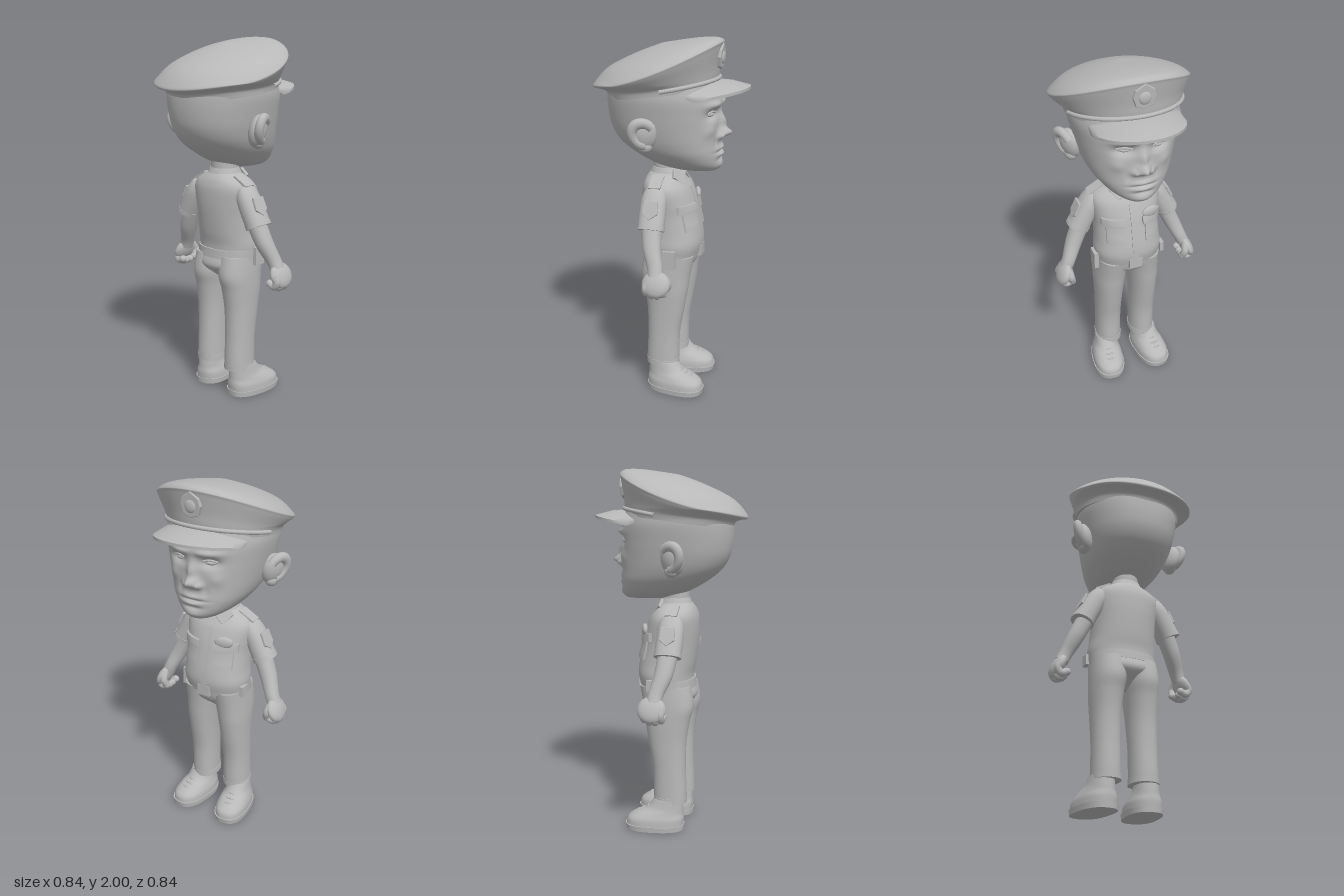
import * as THREE from 'three';
import { toCreasedNormals } from 'three/addons/utils/BufferGeometryUtils.js';

const grey = new THREE.MeshStandardMaterial({ color: 0xb8b8b8 });
grey.name = 'plain grey';

// The figure faces +x; its width runs along z.
// Ring: [y, backX, frontX, halfWidth, centreZ, slope of y along x, roundness]
const full = r => [r[0], r[1], r[2], r[3], r[4] ?? 0, r[5] ?? 0, r[6] ?? 2.2];

function dense(rings, n) {
  const R = rings.map(full), out = [], c = R.length - 1;
  for (let i = 0; i <= n; i++) {
    const t = i / n * c, k = Math.min(Math.floor(t), c - 1), f = t - k;
    const a = R[Math.max(k - 1, 0)], b = R[k], d = R[k + 1], e = R[Math.min(k + 2, c)];
    out.push(b.map((v, q) => v + 0.5 * f * (d[q] - a[q] + f * (2 * a[q] - 5 * v + 4 * d[q] - e[q] + f * (3 * (v - d[q]) + e[q] - a[q])))));
  }
  return out;
}

// Closed skin over a row of equal loops, with end caps
function skin(loops) {
  const m = loops[0].length, pos = [], idx = [];
  const add = l => l.forEach(p => pos.push(...p));
  loops.forEach(add);
  for (let i = 0; i < loops.length - 1; i++) for (let j = 0; j < m; j++) {
    const a = i * m + j, b = i * m + (j + 1) % m;
    idx.push(a, a + m, b, b, a + m, b + m);
  }
  [loops[0], loops[loops.length - 1]].forEach((l, end) => {
    const o = pos.length / 3;
    add(l);
    pos.push(...[0, 1, 2].map(k => l.reduce((s, p) => s + p[k], 0) / m));
    for (let j = 0; j < m; j++) {
      const n = o + (j + 1) % m;
      idx.push(o + m, end ? n : o + j, end ? o + j : n);
    }
  });
  const g = new THREE.BufferGeometry();
  g.setAttribute('position', new THREE.Float32BufferAttribute(pos, 3));
  g.setIndex(idx);
  g.computeVertexNormals();
  return g;
}

const spow = (v, e) => Math.sign(v) * Math.pow(Math.abs(v), e);
function loft(rings, n = 24, seg = 40, rule = p => p) {
  return skin(dense(rings, n).map(([y, x0, x1, hz, zc, sl, p]) => Array.from({ length: seg }, (_, j) => {
    const a = j / seg * Math.PI * 2, dx = (x1 - x0) / 2 * spow(Math.cos(a), 2 / p);
    return rule([(x0 + x1) / 2 + dx, y + sl * dx, zc + hz * spow(Math.sin(a), 2 / p)], a);
  })));
}

// Front x of a lofted body at height y and width z
function surfX(rings, y, z) {
  const d = dense(rings, 60);
  const r = d.reduce((b, q) => Math.abs(q[0] - y) < Math.abs(b[0] - y) ? q : b);
  const u = Math.min(Math.abs(z / r[3]), 0.98);
  return (r[1] + r[2]) / 2 + (r[2] - r[1]) / 2 * Math.pow(1 - Math.pow(u, r[6]), 1 / r[6]);
}

function mesh(parent, name, geo, pos = [0, 0, 0], rot = [0, 0, 0], scale = [1, 1, 1]) {
  const m = new THREE.Mesh(geo, grey);
  m.name = name;
  m.position.set(...pos); m.rotation.set(...rot); m.scale.set(...scale);
  parent.add(m);
  return m;
}
const box = (x, y, z) => new THREE.BoxGeometry(x, y, z);
const ball = () => new THREE.SphereGeometry(1, 24, 16);
const tube = (pts, r, n = 16) => new THREE.TubeGeometry(new THREE.CatmullRomCurve3(pts.map(p => new THREE.Vector3(...p))), n, r, 10);

// Plate bent to follow the front of a body
function patch(rings, y, z, h, w, t) {
  const g = new THREE.BoxGeometry(t, h, w, 1, 6, 8), p = g.attributes.position;
  for (let i = 0; i < p.count; i++) {
    const Y = p.getY(i) + y, Z = p.getZ(i) + z;
    p.setXYZ(i, p.getX(i) + surfX(rings, Y, Z), Y, Z);
  }
  return toCreasedNormals(g, 0.6);
}
function plate(pts, depth) {
  const s = new THREE.Shape(pts.map(p => new THREE.Vector2(...p)));
  return new THREE.ExtrudeGeometry(s, { depth, bevelEnabled: true, bevelSize: 0.004, bevelThickness: 0.004, bevelSegments: 2 }).rotateY(Math.PI / 2);
}

const TORSO = [[.82, -.135, .16, .185], [.88, -.135, .172, .192], [.95, -.147, .166, .185], [1.05, -.158, .145, .183],
  [1.12, -.162, .13, .19], [1.19, -.16, .105, .195], [1.23, -.15, .08, .175], [1.26, -.135, .06, .125], [1.29, -.11, .03, .07]];
const HEAD = [[1.297, .07, .22, .04], [1.305, .0, .25, .085], [1.34, -.11, .268, .145], [1.4, -.215, .27, .2], [1.46, -.288, .265, .232],
  [1.53, -.33, .262, .254], [1.61, -.347, .262, .272], [1.7, -.35, .258, .288], [1.77, -.34, .24, .285]];
// Face relief: [y, z, spreadY, spreadZ, amount]
const BUMPS = [[1.615, .095, .026, .05, -.028], [1.665, .085, .018, .07, .02], [1.53, .13, .035, .035, .012],
  [1.508, 0, .026, .03, .058], [1.565, 0, .045, .022, .03], [1.492, .042, .016, .016, .026], [1.465, .075, .03, .012, -.007],
  [1.428, 0, .012, .055, .012], [1.409, 0, .006, .065, -.012], [1.392, 0, .012, .05, .012], [1.368, 0, .01, .05, -.01], [1.33, 0, .02, .05, .01]];

function face([x, y, z], a) {
  const w = Math.max(0, Math.cos(a)) ** 0.5;
  for (const [by, bz, sy, sz, k] of BUMPS)
    x += w * k * Math.exp(-(((y - by) / sy) ** 2) - ((Math.abs(z) - bz) / sz) ** 2);
  return [x, y, z];
}
// The cap's rim droops toward both sides
const droop = ([x, y, z]) => [x, y - .035 * (z / .36) ** 2 * THREE.MathUtils.clamp((y - 1.73) / .08, 0, 1), z];

export function createModel() {
  const root = new THREE.Group();
  root.name = 'officer figure';

  // Head and neck
  mesh(root, 'head', loft(HEAD, 90, 128, face));
  mesh(root, 'neck', new THREE.CylinderGeometry(.075, .075, .16, 32), [-.035, 1.3, 0]);
  for (const s of [1, -1]) {
    mesh(root, 'eye', ball(), [surfX(HEAD, 1.615, .09) - .027, 1.615, s * .09], [0, -s * .3, 0], [.018, .013, .032]);
    mesh(root, 'upperEyelid', tube([.055, .09, .13].map((z, i) => [surfX(HEAD, 1.62, z) - .013, 1.622 + (i === 1) * .008, s * z]), .006));
    // Ear with raised rim and lobe
    const ear = new THREE.Group();
    ear.name = 'ear';
    ear.position.set(-.08, 1.53, s * .288);
    ear.rotation.set(s * .2, s * .4, -.1);
    mesh(ear, 'earBody', ball(), [.005, -.005, -s * .008], [0, 0, 0], [.068, .088, .046]);
    mesh(ear, 'earRim', new THREE.TorusGeometry(.053, .024, 14, 36, 4.2), [-.002, .01, s * .018], [0, 0, .65], [1, 1.2, 1]);
    mesh(ear, 'earLobe', ball(), [.012, -.064, s * .006], [0, 0, 0], [.038, .034, .032]);
    root.add(ear);
  }

  // Peaked cap
  mesh(root, 'capCrown', loft([[1.722, -.345, .238, .303, 0, .14, 2], [1.763, -.36, .245, .31, 0, .16, 2], [1.797, -.39, .25, .33, .005, .22, 2],
    [1.845, -.42, .265, .36, .01, .33, 2], [1.87, -.417, .268, .358, .01, .33, 2], [1.918, -.345, .235, .29, .01, .28, 2],
    [1.954, -.2, .14, .17, .01, .25, 2], [1.968, -.06, -.03, .015, .01, .23, 2]], 56, 72, droop));
  const brim = [];
  for (let i = 0; i <= 32; i++) {
    const u = (i / 16 - 1) * Math.PI / 2, t = u * .59, c = Math.cos(u);
    const a = [-.055 + .28 * Math.cos(t), 1.735 + .05 * c, .3 * Math.sin(t)];
    const b = [.175 + .24 * c, 1.712 + .043 * c, .242 * Math.sin(u)];
    const mid = [(a[0] + b[0]) / 2, (a[1] + b[1]) / 2 + .008 * c, (a[2] + b[2]) / 2];
    const low = p => [p[0], p[1] - .015, p[2]];
    brim.push([a, mid, b, low(b), low(mid), low(a)]);
  }
  mesh(root, 'capBrim', toCreasedNormals(skin(brim), 0.9));
  mesh(root, 'capStrap', tube(Array.from({ length: 13 }, (_, i) => {
    const t = (i / 6 - 1) * 1.35;
    return [-.055 + .302 * Math.cos(t), 1.742 + .05 * Math.cos(t), .312 * Math.sin(t)];
  }), .011, 40));
  mesh(root, 'capBadge', plate([[0, -.06], [.04, -.045], [.055, 0], [.045, .035], [0, .065], [-.045, .035], [-.055, 0], [-.04, -.045]], .018), [.248, 1.905, 0], [0, 0, -.06]);
  mesh(root, 'capBadgeBoss', ball(), [.268, 1.9, 0], [0, 0, 0], [.012, .034, .032]);

  // Shirt
  mesh(root, 'shirt', loft(TORSO, 48, 56));
  mesh(root, 'buttonPlacket', patch(TORSO, 1.03, 0, .34, .035, .01));
  mesh(root, 'collarBand', loft([[1.235, -.135, .062, .105], [1.27, -.125, .055, .095], [1.305, -.11, .035, .082]], 12));
  for (const s of [1, -1]) {
    mesh(root, 'collarFlap', plate([[0, .025], [-s * .085, .05], [-s * .11, .01], [-s * .06, -.045]], .01), [.072, 1.25, 0], [0, -s * .35, .5]);
    mesh(root, 'chestPocket', patch(TORSO, 1.025, s * .105, .11, .085, .022));
    mesh(root, 'pocketFlap', patch(TORSO, 1.095, s * .108, .046, .118, .034));
    mesh(root, 'epaulette', box(.065, .014, .1), [-.05, 1.243, s * .155], [s * .5, 0, 0]);
  }
  mesh(root, 'chestBadge', ball(), [surfX(TORSO, 1.13, -.1) + .008, 1.13, -.1], [0, .3, 0], [.018, .034, .052]);

  // Belt and trousers
  mesh(root, 'belt', loft([[.805, -.148, .156, .188], [.855, -.143, .166, .191]], 2, 48));
  mesh(root, 'beltBuckle', box(.022, .06, .075), [.163, .832, 0]);
  mesh(root, 'beltPouch', box(.07, .1, .026), [.03, .82, .195]);
  mesh(root, 'beltClip', box(.05, .06, .022), [.06, .835, -.192]);
  mesh(root, 'hips', loft([[.66, -.04, .02, .012], [.7, -.1, .07, .05], [.755, -.155, .13, .165], [.82, -.14, .15, .186], [.85, -.135, .155, .185]], 24, 48));

  for (const s of [1, -1]) {
    mesh(root, 'trouserLeg', loft([[.155, -.118, .063, .075, s * .108], [.2, -.121, .066, .074, s * .108], [.35, -.115, .07, .074, s * .107],
      [.5, -.118, .095, .078, s * .106], [.62, -.135, .115, .086, s * .103], [.71, -.155, .127, .092, s * .097], [.82, -.138, .148, .095, s * .09]], 36));
    mesh(root, 'trouserHem', loft([[.152, -.122, .067, .078, s * .108], [.185, -.122, .067, .077, s * .108]], 2));

    // Shoe, toes turned out
    const shoe = new THREE.Group();
    shoe.name = 'shoe';
    shoe.position.z = s * .131;
    shoe.rotation.y = -s * .13;
    mesh(shoe, 'sole', loft([[0, -.11, .217, .093, 0, 0, 2.5], [.03, -.112, .222, .096, 0, 0, 2.5]], 2));
    mesh(shoe, 'shoeUpper', loft([[.028, -.108, .216, .092, 0, 0, 2.4], [.065, -.11, .208, .089, 0, 0, 2.4], [.095, -.107, .168, .079],
      [.125, -.105, .1, .068], [.175, -.1, .058, .06]], 24));
    for (let i = 0; i < 3; i++) mesh(shoe, 'lace', tube([[.085 + i * .03, .118 - i * .014, -.035], [.092 + i * .03, .13 - i * .014, 0], [.085 + i * .03, .118 - i * .014, .035]], .006, 8));
    root.add(shoe);

    // Arm hanging outward from the shoulder
    const arm = new THREE.Group();
    arm.name = 'arm';
    arm.position.set(-.05, 1.19, s * .175);
    arm.rotation.x = -s * .42;
    mesh(arm, 'sleeve', loft([[-.2, -.072, .072, .062, s * .01], [-.1, -.074, .07, .06, s * .004], [-.03, -.07, .067, .054], [.02, -.05, .05, .036], [.036, -.01, .01, .008]], 24));
    mesh(arm, 'sleeveHem', loft([[-.203, -.074, .074, .064, s * .01], [-.18, -.074, .074, .064, s * .009]], 2));
    mesh(arm, 'sleevePatch', plate([[-.035, .045], [.035, .045], [.038, -.02], [0, -.05], [-.038, -.02]], .008).rotateY(-Math.PI / 2), [0, -.1, s * .064 - .004]);
    mesh(arm, 'forearm', loft([[-.45, .012, .09, .036], [-.4, .002, .087, .037], [-.3, -.035, .065, .045], [-.17, -.055, .055, .048]], 20, 32));
    mesh(arm, 'palm', ball(), [.06, -.485, s * .004], [0, 0, .1], [.078, .072, .034]);
    for (let i = 0; i < 4; i++) {
      const x = .008 + i * .03, d = i === 0 || i === 3 ? .012 : 0;
      const pts = [[x, -.48, s * .01], [x, -.528 + d, s * .007], [x, -.545 + d, -s * .02], [x, -.522 + d, -s * .045]];
      mesh(arm, 'finger', tube(pts, .021));
      mesh(arm, 'fingertip', ball(), pts[3], [0, 0, 0], [.021, .021, .021]);
    }
    const thumb = [[.095, -.44, 0], [.118, -.475, -s * .022], [.105, -.505, -s * .045]];
    mesh(arm, 'thumb', tube(thumb, .021));
    mesh(arm, 'thumbTip', ball(), thumb[2], [0, 0, 0], [.021, .021, .021]);
    root.add(arm);
  }
  return root;
}
